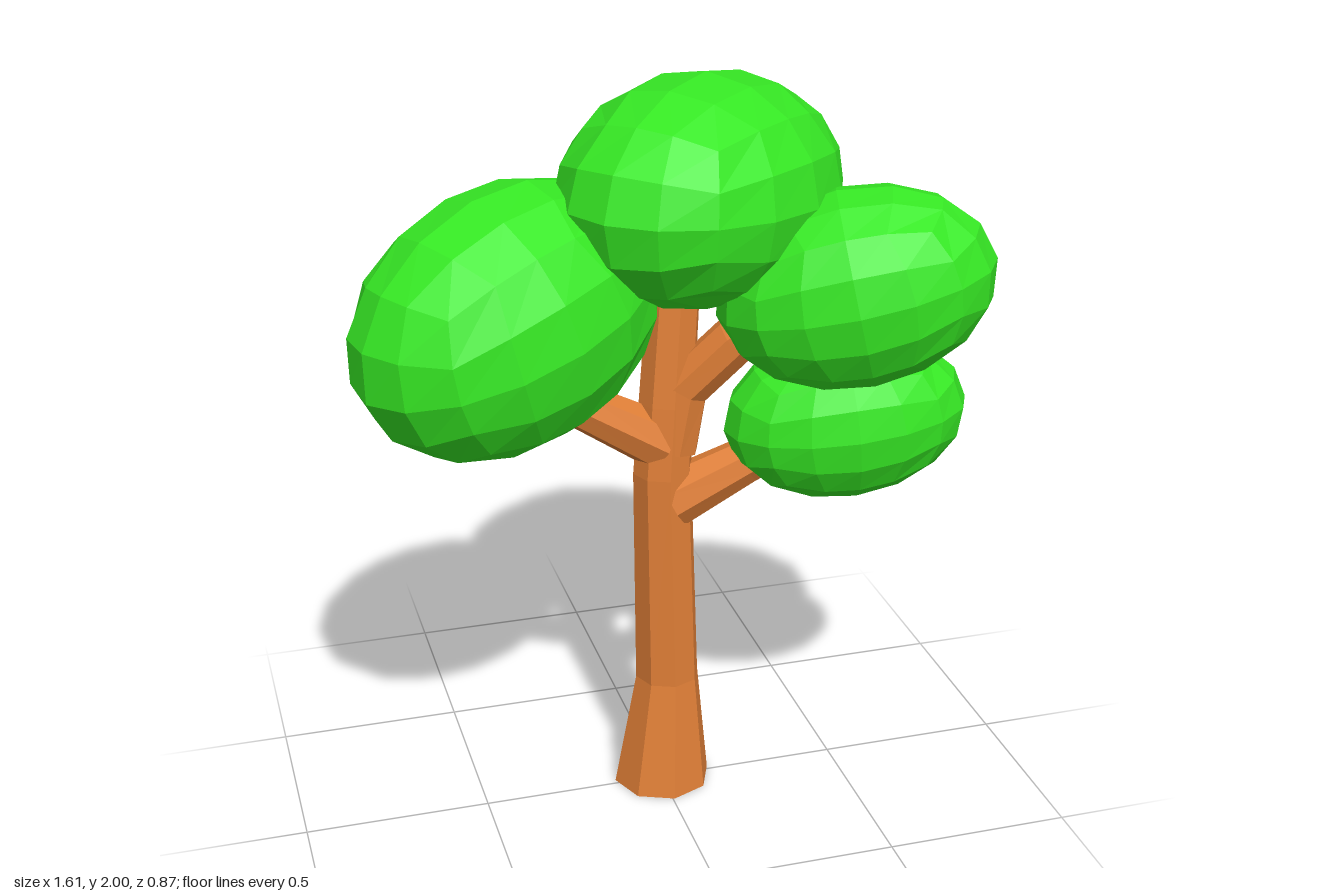
import * as THREE from 'three';

const UP = new THREE.Vector3(0, 1, 0);

const bark = new THREE.MeshStandardMaterial({ color: 0xe07f37, flatShading: true });
const leaf = new THREE.MeshStandardMaterial({ color: 0x36e824, flatShading: true });

// Eight-sided tapering limb through rings of [x, y, z, radius], listed from top to bottom
function limb(name, rings, level = false) {
  const n = rings.length - 1;
  const centres = rings.map(([x, y, z]) => new THREE.Vector3(x, y, z));
  const turns = centres.map((c, k) => {
    const dir = centres[Math.max(k - 1, 0)].clone().sub(centres[Math.min(k + 1, n)]).normalize();
    return new THREE.Quaternion().setFromUnitVectors(UP, level ? UP : dir);
  });
  const geo = new THREE.CylinderGeometry(1, 1, 1, 8, n);
  const pos = geo.attributes.position;
  const v = new THREE.Vector3();
  for (let i = 0; i < pos.count; i++) {
    v.fromBufferAttribute(pos, i);
    const k = Math.round((0.5 - v.y) * n);
    v.y = 0;
    v.multiplyScalar(rings[k][3]).applyQuaternion(turns[k]).add(centres[k]);
    pos.setXYZ(i, v.x, v.y, v.z);
  }
  geo.computeVertexNormals();
  const mesh = new THREE.Mesh(geo, bark);
  mesh.name = name;
  return mesh;
}

// Faceted leaf clump: a rounded cube with its own [length, height, width] radii,
// turned by yaw and pitch in degrees
function clump(name, centre, [length, height, width], yaw, pitch) {
  const geo = new THREE.BoxGeometry(2, 2, 2, 4, 4, 4);
  const pos = geo.attributes.position;
  const v = new THREE.Vector3();
  const even = (t) => Math.tan((t * Math.PI) / 4);
  for (let i = 0; i < pos.count; i++) {
    v.fromBufferAttribute(pos, i);
    v.set(even(v.x), even(v.y), even(v.z)).normalize();
    pos.setXYZ(i, v.x * length, v.y * height, v.z * width);
  }
  geo.computeVertexNormals();
  const mesh = new THREE.Mesh(geo, leaf);
  mesh.name = name;
  mesh.position.set(...centre);
  mesh.rotation.set(0, THREE.MathUtils.degToRad(yaw), THREE.MathUtils.degToRad(pitch), 'YXZ');
  return mesh;
}

export function createModel() {
  const tree = new THREE.Group();
  tree.name = 'tree';

  // Trunk with a flared foot, and its branches
  const wood = new THREE.Group();
  wood.name = 'wood';
  wood.add(
    limb('trunk', [
      [0.045, 1.5, -0.035, 0.07],
      [0.018, 1.15, -0.015, 0.076],
      [0.005, 0.95, -0.01, 0.08],
      [0.02, 0.33, -0.015, 0.088],
      [0.005, 0, -0.015, 0.135],
    ], true),
    limb('rightBranch', [[-0.38, 1.28, 0, 0.052], [-0.24, 1.18, 0, 0.06], [0, 1.035, -0.01, 0.078]]),
    limb('leftLowerBranch', [[0.38, 1.06, 0.08, 0.052], [0.22, 0.975, 0.04, 0.062], [0.03, 0.87, 0, 0.08]]),
    limb('leftUpperBranch', [[0.34, 1.45, 0.13, 0.055], [0.18, 1.33, 0.06, 0.065], [0.06, 1.19, 0.005, 0.068], [0.03, 1.02, 0, 0.068]]),
  );

  // Four leaf clumps
  const foliage = new THREE.Group();
  foliage.name = 'foliage';
  foliage.add(
    clump('topClump', [0.12, 1.703, -0.05], [0.45, 0.297, 0.335], 42, -3),
    clump('rightClump', [-0.41, 1.435, 0.03], [0.435, 0.333, 0.315], 24, 16),
    clump('leftUpperClump', [0.458, 1.483, 0.175], [0.36, 0.258, 0.243], -18, 13),
    clump('leftLowerClump', [0.472, 1.105, 0.1], [0.323, 0.223, 0.205], -9, 6),
  );

  tree.add(wood, foliage);
  return tree;
}
